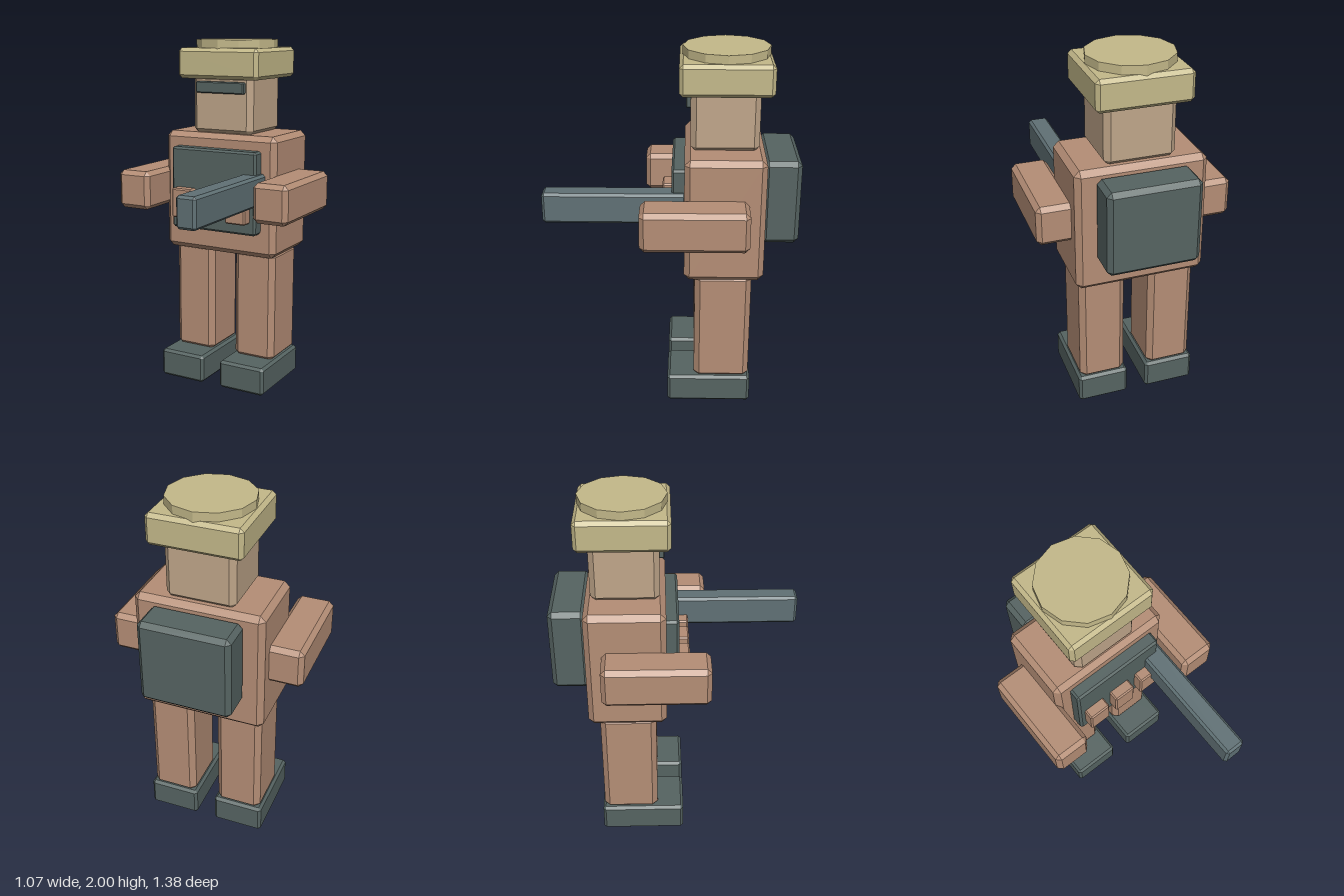
import * as THREE from 'three';
import { ConvexGeometry } from 'three/addons/geometries/ConvexGeometry.js';

const paint = (color) => new THREE.MeshStandardMaterial({ color, flatShading: true });

// Box with chamfered edges, given by its extents on each axis
function chamferBox([x0, x1], [y0, y1], [z0, z1], c) {
  const half = [(x1 - x0) / 2, (y1 - y0) / 2, (z1 - z0) / 2];
  const points = [];
  for (const sx of [-1, 1]) for (const sy of [-1, 1]) for (const sz of [-1, 1]) {
    for (let axis = 0; axis < 3; axis++) {
      const p = half.map((h, i) => (i === axis ? h : h - c));
      points.push(new THREE.Vector3(sx * p[0], sy * p[1], sz * p[2]));
    }
  }
  const geometry = new ConvexGeometry(points);
  geometry.translate((x0 + x1) / 2, (y0 + y1) / 2, (z0 + z1) / 2);
  return geometry;
}

export function createModel() {
  const group = new THREE.Group();
  const cloth = paint(0xb58e76);
  const skin = paint(0xc0a68a);
  const felt = paint(0xc4b98a);
  const dark = paint(0x566462);
  const steel = paint(0x607175);

  const add = (name, geometry, material) => {
    const mesh = new THREE.Mesh(geometry, material);
    mesh.name = name;
    group.add(mesh);
  };
  const box = (name, x, y, z, c, material) => add(name, chamferBox(x, y, z, c), material);

  // Limbs, mirrored left and right
  for (const [side, s] of [['left', 1], ['right', -1]]) {
    const span = (a, b) => (s > 0 ? [a, b] : [-b, -a]);
    box(side + 'Boot', span(0.055, 0.34), [0, 0.165], [-0.45, 0.02], 0.015, dark);
    box(side + 'Leg', span(0.07, 0.325), [0.15, 0.81], [-0.44, -0.13], 0.03, cloth);
    box(side + 'Arm', span(0.33, 0.535), [1.045, 1.265], [-0.41, 0.16], 0.025, cloth);
  }

  // Torso with backpack and vest
  box('torso', [-0.355, 0.355], [0.79, 1.48], [-0.5, -0.07], 0.03, cloth);
  box('backpack', [-0.25, 0.25], [0.97, 1.44], [-0.69, -0.49], 0.025, dark);
  box('vest', [-0.27, 0.27], [0.93, 1.4], [-0.09, -0.002], 0.012, dark);
  for (const x of [-0.173, 0, 0.173]) {
    box('pouch', [x - 0.063, x + 0.063], [1.0, 1.17], [-0.03, 0.057], 0.008, cloth);
  }

  // Carried barrel
  box('barrel', [0.183, 0.298], [1.105, 1.275], [-0.08, 0.685], 0.014, steel);

  // Head, visor and hat
  box('head', [-0.19, 0.19], [1.47, 1.81], [-0.465, -0.1], 0.03, skin);
  box('visor', [-0.152, 0.152], [1.705, 1.77], [-0.115, -0.075], 0.006, dark);
  box('hatBrim', [-0.253, 0.253], [1.785, 1.955], [-0.53, -0.04], 0.02, felt);
  const crown = new THREE.CylinderGeometry(0.232, 0.232, 0.12, 12);
  crown.translate(0, 1.94, -0.287);
  add('hatCrown', crown, felt);

  return group;
}
